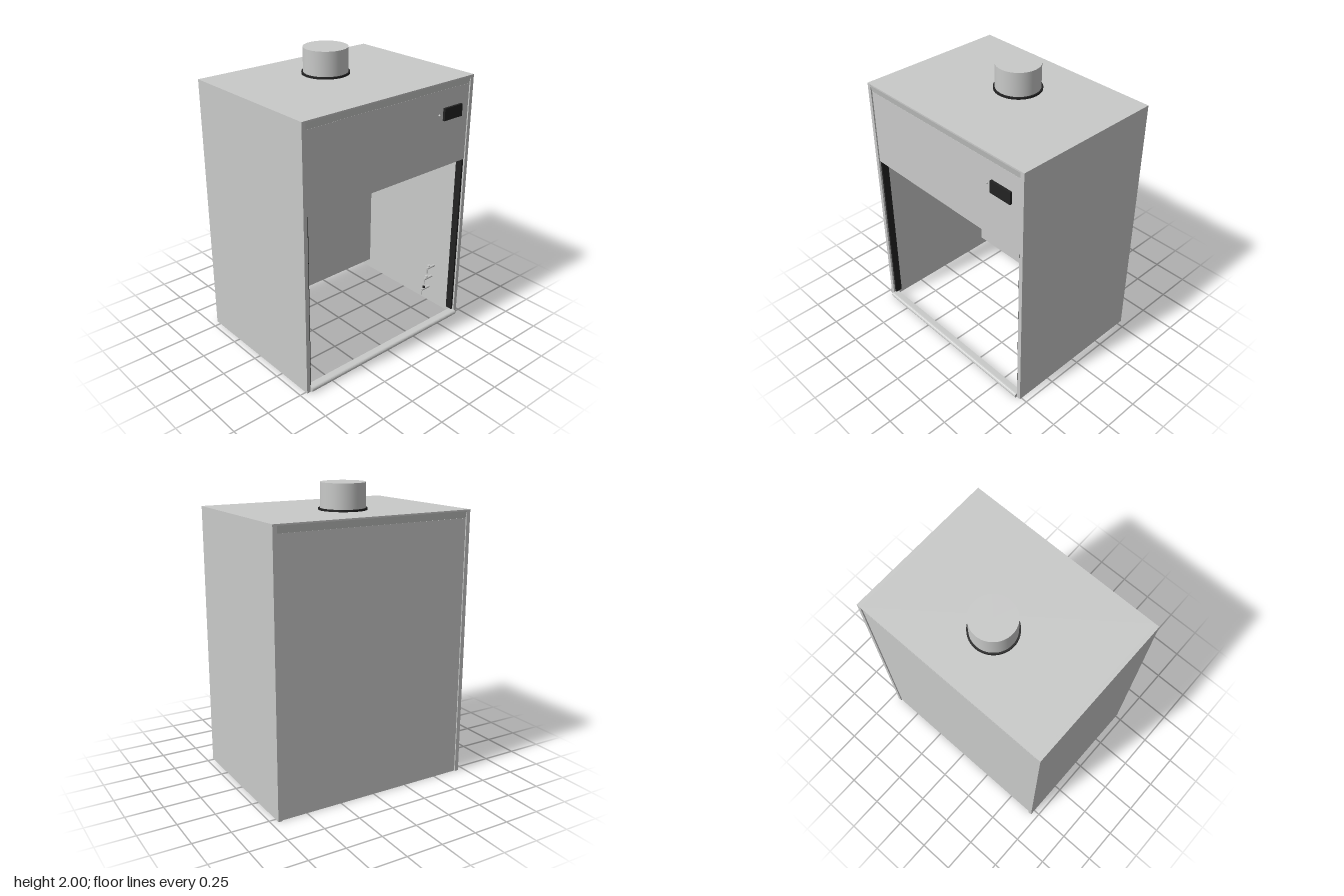
import * as THREE from 'three';

export function createModel() {
  const group = new THREE.Group();
  const paint = new THREE.MeshStandardMaterial({ color: 0xc9cac9 });
  paint.name = 'light grey paint';
  const black = new THREE.MeshStandardMaterial({ color: 0x222222 });
  black.name = 'black trim';

  const add = (name, geometry, material, x = 0, y = 0, z = 0, parent = group) => {
    const mesh = new THREE.Mesh(geometry, material);
    mesh.name = name;
    mesh.position.set(x, y, z);
    parent.add(mesh);
    return mesh;
  };
  // Box given by its lower and upper limits on each axis
  const box = (name, material, x0, x1, y0, y1, z0, z1, parent) =>
    add(name, new THREE.BoxGeometry(x1 - x0, y1 - y0, z1 - z0), material,
      (x0 + x1) / 2, (y0 + y1) / 2, (z0 + z1) / 2, parent);
  // Side profile of [z, y] points drawn across the cabinet width
  const across = (name, points, halfWidth) => {
    const shape = new THREE.Shape(points.map(([z, y]) => new THREE.Vector2(-z, y)));
    const geometry = new THREE.ExtrudeGeometry(shape, { depth: halfWidth * 2, bevelEnabled: false });
    geometry.translate(0, 0, -halfWidth).rotateY(Math.PI / 2);
    return add(name, geometry, paint);
  };

  const inner = 0.677, back = -0.54, front = 0.515, top = 1.825;

  // Cabinet sides and the black sash tracks just inside them
  for (const s of [-1, 1]) {
    const side = s < 0 ? 'right' : 'left';
    add(side + 'SidePanel', new THREE.BoxGeometry(0.028, top, front - back), paint,
      s * 0.691, top / 2, (front + back) / 2);
    add(side + 'SashTrack', new THREE.BoxGeometry(0.014, 1.2, 0.05), black, s * 0.67, 0.64, 0.477);
  }

  // Roof with folded lips that slope in to the front and back panels
  across('roof', [
    [front, top], [back, top], [back, 1.815], [back + 0.01, 1.77], [back + 0.03, 1.77],
    [back + 0.03, 1.8], [front - 0.03, 1.8], [front - 0.03, 1.77], [front - 0.01, 1.77], [front, 1.815],
  ], inner);
  box('frontPanel', paint, -inner, inner, 1.24, 1.77, 0.48, 0.506);
  box('backPanel', paint, -inner, inner, 0, 1.77, -0.532, -0.515);

  // Inner baffles with an exhaust slot between them
  box('lowerBaffle', paint, -inner, inner, 0.07, 0.71, -0.405, -0.395);
  box('upperBaffle', paint, -inner, inner, 0.745, 1.8, -0.405, -0.395);

  // Rounded sill across the bottom of the opening
  const sill = [[0.48, 0.003], [0.48, 0.037]];
  for (let i = 0; i <= 8; i++) {
    const a = Math.PI / 2 - (i / 8) * Math.PI;
    sill.push([0.519 + 0.017 * Math.cos(a), 0.02 + 0.017 * Math.sin(a)]);
  }
  across('frontSill', sill.reverse(), inner);

  // Control display and its small button
  box('display', black, 0.44, 0.605, 1.567, 1.65, 0.505, 0.523);
  add('button', new THREE.CylinderGeometry(0.006, 0.006, 0.014, 12).rotateX(Math.PI / 2), paint,
    0.404, 1.61, 0.512);

  // Exhaust duct on the roof
  add('ductFlange', new THREE.CylinderGeometry(0.158, 0.158, 0.014, 48), black, 0, 1.831, -0.13);
  add('exhaustDuct', new THREE.CylinderGeometry(0.147, 0.147, 0.18, 48), paint, 0, 1.91, -0.13);

  // Service taps on the left inner wall
  [0.32, 0.22, 0.12].forEach((y, i) => {
    const tap = new THREE.Group();
    tap.name = 'serviceTap' + (i + 1);
    tap.position.set(0, y, 0.3 - i * 0.02);
    group.add(tap);
    add('tapBody', new THREE.CylinderGeometry(0.01, 0.01, 0.08, 12).rotateZ(Math.PI / 2), paint, 0.637, 0, 0, tap);
    add('tapSpout', new THREE.CylinderGeometry(0.005, 0.005, 0.045, 10), paint, 0.6, -0.017, 0, tap);
    add('tapHandle', new THREE.CylinderGeometry(0.01, 0.01, 0.012, 12), i === 2 ? black : paint, 0.62, 0.016, 0, tap);
  });

  return group;
}
